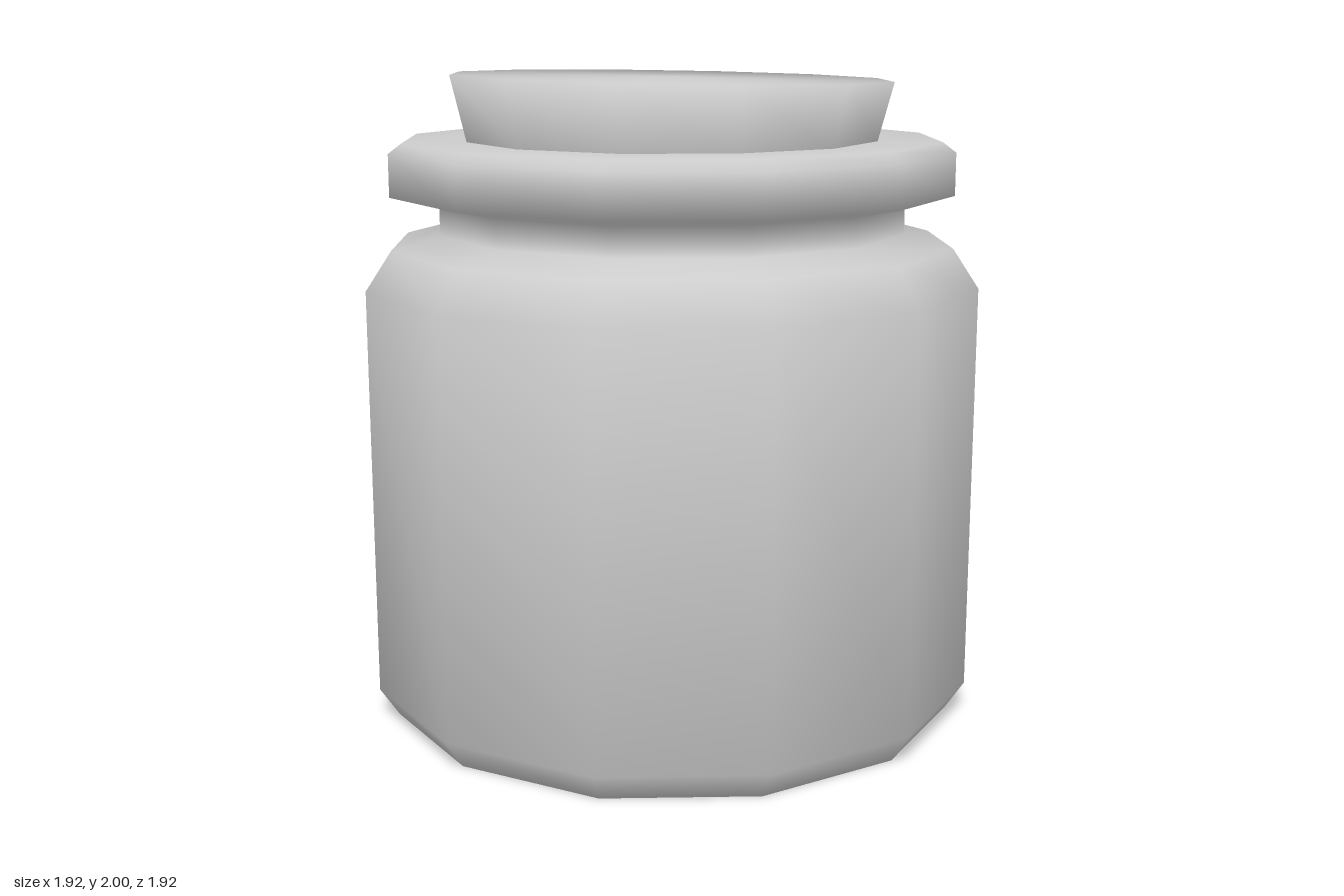
import * as THREE from 'three';

const SIDES = 12;

// Twelve-sided turned solid; normals average the neighbouring bands equally
function turned(name, profile, material) {
  const points = profile.map(([r, y]) => new THREE.Vector2(r, y));
  const geometry = new THREE.LatheGeometry(points, SIDES);
  const bands = points.slice(1).map((p, i) => {
    const d = p.clone().sub(points[i]);
    return new THREE.Vector2(d.y, -d.x).normalize();
  });
  const normals = points.map((p, i) => {
    if (p.x === 0) return new THREE.Vector2(0, i === 0 ? -1 : 1);
    const n = new THREE.Vector2();
    if (i > 0) n.add(bands[i - 1]);
    if (i < bands.length) n.add(bands[i]);
    return n.normalize();
  });
  const normal = geometry.attributes.normal;
  for (let i = 0; i < normal.count; i++) {
    const n = normals[i % points.length];
    const a = Math.floor(i / points.length) * Math.PI * 2 / SIDES;
    normal.setXYZ(i, n.x * Math.sin(a), n.y, n.x * Math.cos(a));
  }
  const mesh = new THREE.Mesh(geometry, material);
  mesh.name = name;
  return mesh;
}

export function createModel() {
  const group = new THREE.Group();
  group.name = 'corkedJar';
  const material = new THREE.MeshStandardMaterial({ color: 0xcccccc });

  // Jar: base chamfer, wall, shoulder, neck and wide lip
  group.add(turned('jar', [
    [0, 0], [0.9, 0], [0.96, 0.09], [0.96, 1.36], [0.88, 1.48],
    [0.73, 1.52], [0.73, 1.61], [0.88, 1.64], [0.88, 1.77],
    [0.84, 1.8], [0.62, 1.8], [0, 1.8],
  ], material));

  // Cork: flares upward, its top slightly tilted down towards +x
  const cork = turned('cork', [[0.64, 1.79], [0.69, 1.988], [0, 1.988]], material);
  const position = cork.geometry.attributes.position;
  for (let i = 0; i < position.count; i++) {
    if (position.getY(i) > 1.9) {
      position.setY(i, position.getY(i) - 0.0175 * position.getX(i));
    }
  }
  group.add(cork);

  return group;
}
